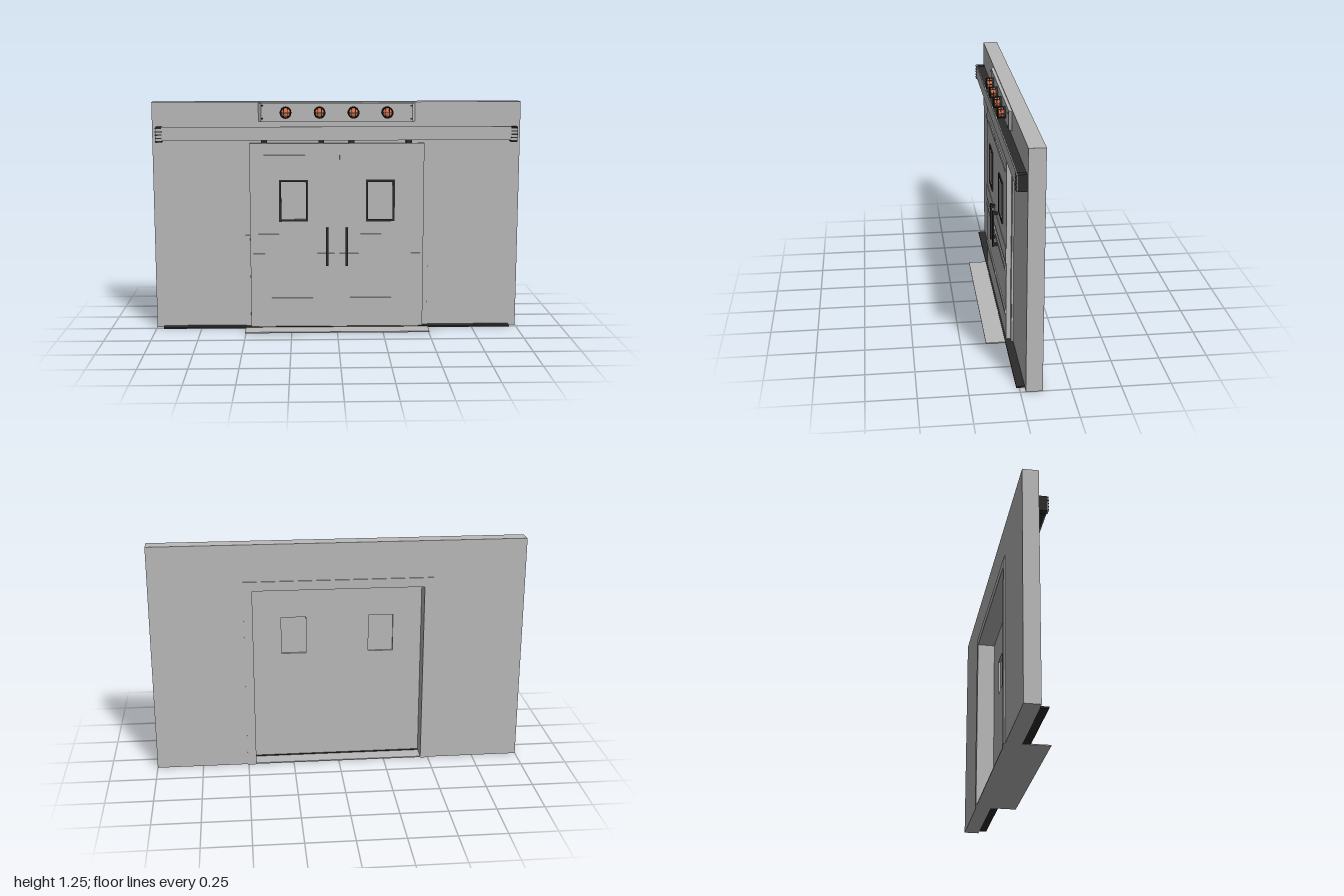
import * as THREE from 'three';

const material = (name, color) => {
  const m = new THREE.MeshStandardMaterial({ color });
  m.name = name;
  return m;
};

export function createModel() {
  const model = new THREE.Group();
  model.name = 'slidingDoor';
  const steel = material('light grey steel', 0xbababa);
  const black = material('black rubber', 0x2b2b2b);
  const amber = material('orange lamp glass', 0xe0744c);

  const add = (name, geometry, mat, parent = model) => {
    const mesh = new THREE.Mesh(geometry, mat);
    mesh.name = name;
    parent.add(mesh);
    return mesh;
  };
  // Box given by its limits on each axis
  const box = (name, mat, [x0, x1], [y0, y1], [z0, z1], parent = model) => {
    const g = new THREE.BoxGeometry(x1 - x0, y1 - y0, z1 - z0);
    g.translate((x0 + x1) / 2, (y0 + y1) / 2, (z0 + z1) / 2);
    return add(name, g, mat, parent);
  };
  // The same box on the left and the right
  const pair = (name, mat, [x0, x1], y, z) => {
    box(name + 'Left', mat, [x0, x1], y, z);
    box(name + 'Right', mat, [-x1, -x0], y, z);
  };
  const path = (points) => points.map(([x, y]) => new THREE.Vector2(x, y));
  const rect = (x0, x1, y0, y1) => path([[x0, y0], [x1, y0], [x1, y1], [x0, y1]]);
  const extrude = (points, holes, z0, z1) => {
    const shape = new THREE.Shape(points);
    holes.forEach((h) => shape.holes.push(new THREE.Path(h)));
    const g = new THREE.ExtrudeGeometry(shape, { depth: z1 - z0, bevelEnabled: false });
    return g.translate(0, 0, z0);
  };
  // Upside-down U, open at the floor
  const portal = (ow, oh, iw, ih, z0, z1) => extrude(path([
    [-ow, 0], [-iw, 0], [-iw, ih], [iw, ih], [iw, 0], [ow, 0], [ow, oh], [-ow, oh],
  ]), [], z0, z1);

  // Wall, lined doorway and guards on the lower jambs
  add('wall', portal(1, 1.25, 0.5, 1.045, -0.11, -0.027), steel);
  add('doorFrame', portal(0.505, 1.05, 0.458, 1.0, -0.117, -0.019), steel);
  pair('jambGuard', steel, [0.477, 0.502], [0.005, 0.52], [-0.019, -0.016]);

  // Floor plate and bottom track
  box('floorPlate', steel, [-0.505, 0.505], [0, 0.006], [-0.112, 0.117]);
  box('bottomTrack', black, [-0.96, 0.96], [0.0005, 0.009], [-0.027, 0.015]);

  // Two door leaves with windows, rails and handles
  for (const s of [-1, 1]) {
    const leaf = new THREE.Group();
    leaf.name = s > 0 ? 'doorLeft' : 'doorRight';
    model.add(leaf);
    const span = (a, b) => (s > 0 ? [a, b] : [-b, -a]);
    const [d0, d1] = span(0, 0.475);
    const [w0, w1] = span(0.17, 0.304);
    add('doorPanel', extrude(rect(d0, d1, 0.009, 1.028),
      [rect(w0, w1, 0.612, 0.818)], -0.018, 0.007), steel, leaf);
    box('windowPane', steel, [w0, w1], [0.612, 0.818], [-0.006, 0.004], leaf);
    const [f0, f1] = span(0.158, 0.316);
    add('windowFrame', extrude(rect(f0, f1, 0.6, 0.83),
      [rect(w0, w1, 0.612, 0.818)], 0.007, 0.013), black, leaf);
    box('bumperBand', steel, span(0.003, 0.474), [0.445, 0.53], [0.007, 0.01], leaf);
    for (const y of [0.16, 0.41, 0.953]) {
      box('rail', steel, span(0.015, 0.459), [y - 0.012, y + 0.012], [0.007, 0.013], leaf);
    }
    box('handleBar', black, span(0.046, 0.06), [0.355, 0.568], [0.025, 0.034], leaf);
    for (const y of [0.368, 0.554]) {
      box('handleMount', black, span(0.046, 0.06), [y - 0.008, y + 0.008], [0.007, 0.026], leaf);
    }
  }

  // Overhead track with front cover and ribbed end caps
  box('overheadTrack', black, [-0.945, 0.945], [1.05, 1.114], [-0.027, 0.016]);
  box('trackCover', steel, [-0.945, 0.945], [1.046, 1.12], [0.016, 0.022]);
  pair('endCap', black, [0.945, 0.978], [1.035, 1.118], [-0.027, 0.018]);
  pair('endCapFace', steel, [0.945, 0.978], [1.037, 1.117], [0.018, 0.023]);
  for (let i = 0; i < 5; i++) {
    const y = 1.042 + i * 0.0175;
    pair('endCapRib', black, [0.944, 0.979], [y - 0.003, y + 0.003], [0.02, 0.025]);
  }
  for (const x of [-0.395, -0.085, 0.08, 0.39]) {
    box('hanger', black, [x - 0.016, x + 0.016], [1.028, 1.05], [-0.012, 0.008]);
  }

  // Lamp panel with sloping ends and four screws
  const tray = new THREE.Shape(path([
    [-0.425, 0.027], [0.425, 0.027], [0.425, 0.024], [0.41, 0.01], [-0.41, 0.01], [-0.425, 0.024],
  ]));
  const panel = new THREE.ExtrudeGeometry(tray, { depth: 0.1, bevelEnabled: false });
  panel.rotateX(-Math.PI / 2).translate(0, 1.145, 0);
  add('lampPanel', panel, steel);
  for (const y of [1.16, 1.23]) {
    pair('panelScrew', black, [0.398, 0.41], [y - 0.004, y + 0.004], [-0.012, -0.007]);
  }

  // Caged warning lamps
  const along = (g) => g.rotateX(Math.PI / 2);
  for (let i = 0; i < 4; i++) {
    const lamp = new THREE.Group();
    lamp.name = 'warningLamp' + (i + 1);
    lamp.position.set(-0.277 + i * 0.183, 1.195, -0.01);
    model.add(lamp);
    add('lampBase', along(new THREE.CylinderGeometry(0.031, 0.031, 0.012, 24)), black, lamp).position.z = 0.006;
    const dome = [[0.025, 0], [0.025, 0.018], [0.021, 0.025], [0.012, 0.028], [0, 0.029]];
    add('lampGlass', along(new THREE.LatheGeometry(path(dome), 24)), amber, lamp).position.z = 0.011;
    for (const z of [0.024, 0.04]) {
      add('cageRing', new THREE.TorusGeometry(0.029, 0.0024, 6, 24), black, lamp).position.z = z;
    }
    for (let k = 0; k < 8; k++) {
      const a = (k * Math.PI) / 4;
      const rod = add('cageRod', along(new THREE.CylinderGeometry(0.002, 0.002, 0.032, 6)), black, lamp);
      rod.position.set(0.029 * Math.cos(a), 0.029 * Math.sin(a), 0.026);
    }
    for (const o of [-0.01, 0.01]) {
      box('cageBarUpright', black, [o - 0.0018, o + 0.0018], [-0.028, 0.028], [0.039, 0.043], lamp);
    }
    box('cageBarLevel', black, [-0.029, 0.029], [-0.0022, 0.0022], [0.039, 0.043], lamp);
  }
  return model;
}
